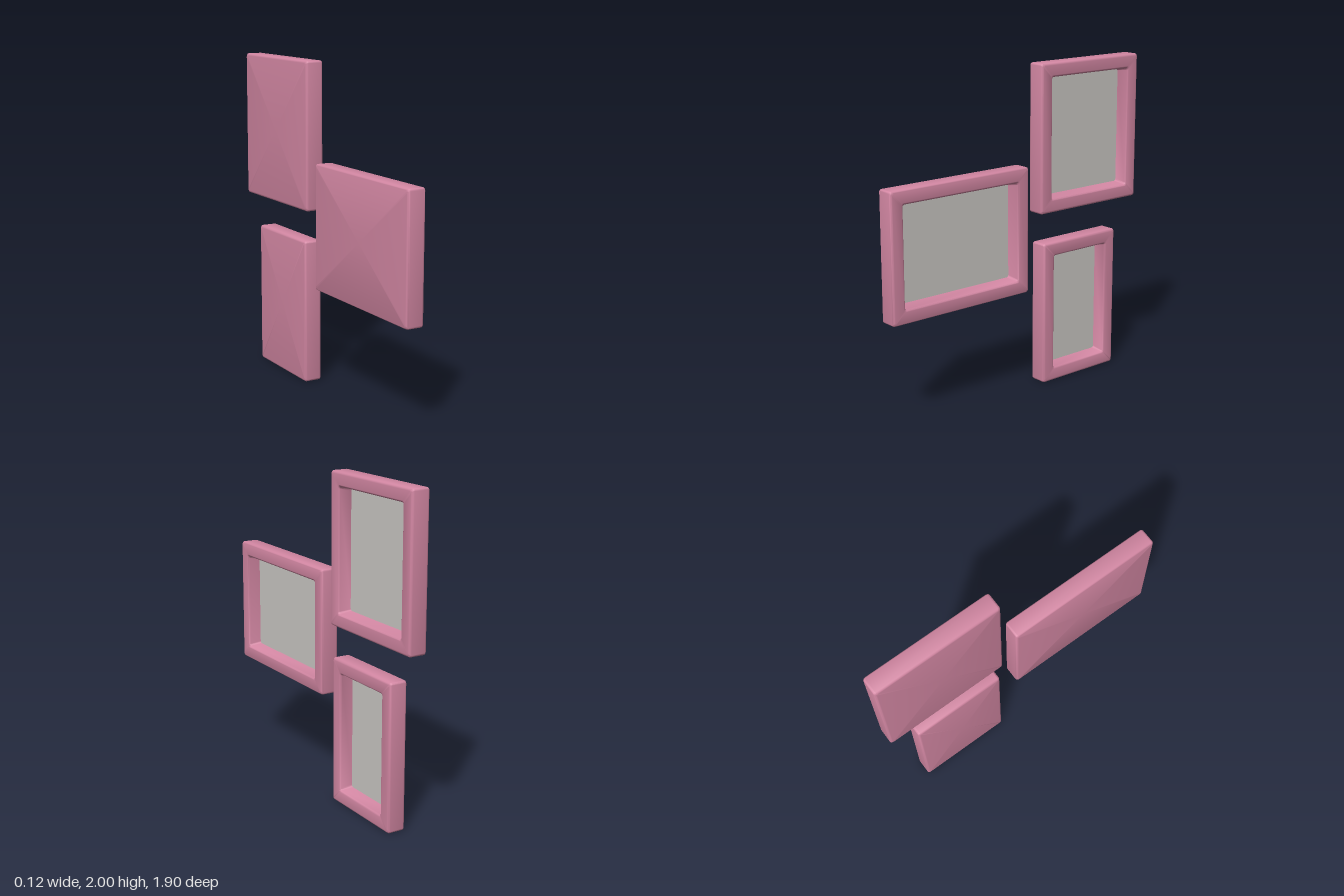
import * as THREE from 'three';
import { toCreasedNormals } from 'three/addons/utils/BufferGeometryUtils.js';

const HALF = 0.0575;      // half thickness of a frame
const PANEL_Z = -0.02;    // depth of the recessed panel
const ROUND = 0.015;      // edge rounding

// Rounded rectangle loop, counter-clockwise
function ring(hw, hh, r) {
  const pts = [];
  [[1, 1], [-1, 1], [-1, -1], [1, -1]].forEach(([sx, sy], k) => {
    for (let i = 0; i <= 4; i++) {
      const a = (k + i / 4) * Math.PI / 2;
      pts.push([sx * (hw - r) + r * Math.cos(a), sy * (hh - r) + r * Math.sin(a)]);
    }
  });
  return pts;
}

// Cross-section of the moulding as [inset from outer edge, depth]
function mouldingProfile() {
  const p = [];
  const arc = (ci, cz, r, a0, a1) => {
    for (let i = 0; i <= 4; i++) {
      const a = a0 + (a1 - a0) * i / 4;
      p.push([ci - r * Math.cos(a), cz + r * Math.sin(a)]);
    }
  };
  arc(ROUND, -HALF + ROUND, ROUND, -Math.PI / 2, 0);   // back outer edge
  arc(ROUND, HALF - ROUND, ROUND, 0, Math.PI / 2);     // front outer edge
  arc(0.073, HALF - 0.012, 0.012, Math.PI / 2, Math.PI); // rim of the opening
  p.push([0.098, PANEL_Z]);                            // sloped inner wall
  return p;
}

// Closed back, rounded sides and inner walls, lofted through the profile
function frameGeometry(w, h) {
  const rings = mouldingProfile().map(([inset, z]) =>
    ring(w / 2 - inset, h / 2 - inset, 0.014).map(([x, y]) => [x, y, z]));
  const n = rings[0].length;
  rings.unshift(rings[0].map(() => [0, 0, -HALF]));
  const index = [];
  for (let i = 0; i < rings.length - 1; i++) {
    for (let j = 0; j < n; j++) {
      const k = (j + 1) % n;
      const a = i * n + j, b = i * n + k, c = a + n, d = b + n;
      if (i > 0) index.push(a, b, d);
      index.push(a, d, c);
    }
  }
  const geo = new THREE.BufferGeometry();
  geo.setAttribute('position', new THREE.Float32BufferAttribute(rings.flat(2), 3));
  geo.setIndex(index);
  return toCreasedNormals(geo, 0.7);
}

export function createModel() {
  const pink = new THREE.MeshStandardMaterial({ color: 0xd387a3 });
  pink.name = 'pink frame';
  const grey = new THREE.MeshStandardMaterial({ color: 0xcccac6 });
  grey.name = 'pale grey panel';

  const group = new THREE.Group();
  group.name = 'pictureFrames';

  // name, width, height, centre y, centre z
  const frames = [
    ['upperFrame', 0.8, 0.91, 1.545, -0.55],
    ['wideFrame', 1.0, 0.775, 1.0125, 0.45],
    ['lowerFrame', 0.6, 0.9, 0.45, -0.475],
  ];
  for (const [name, w, h, y, z] of frames) {
    const part = new THREE.Group();
    part.name = name;
    const moulding = new THREE.Mesh(frameGeometry(w, h), pink);
    moulding.name = 'moulding';
    const panel = new THREE.Mesh(new THREE.PlaneGeometry(w - 0.196, h - 0.196), grey);
    panel.name = 'panel';
    panel.position.z = PANEL_Z;
    part.add(moulding, panel);
    part.rotation.y = Math.PI / 2;   // pictures face +x
    part.position.set(0, y, z);
    group.add(part);
  }
  return group;
}
